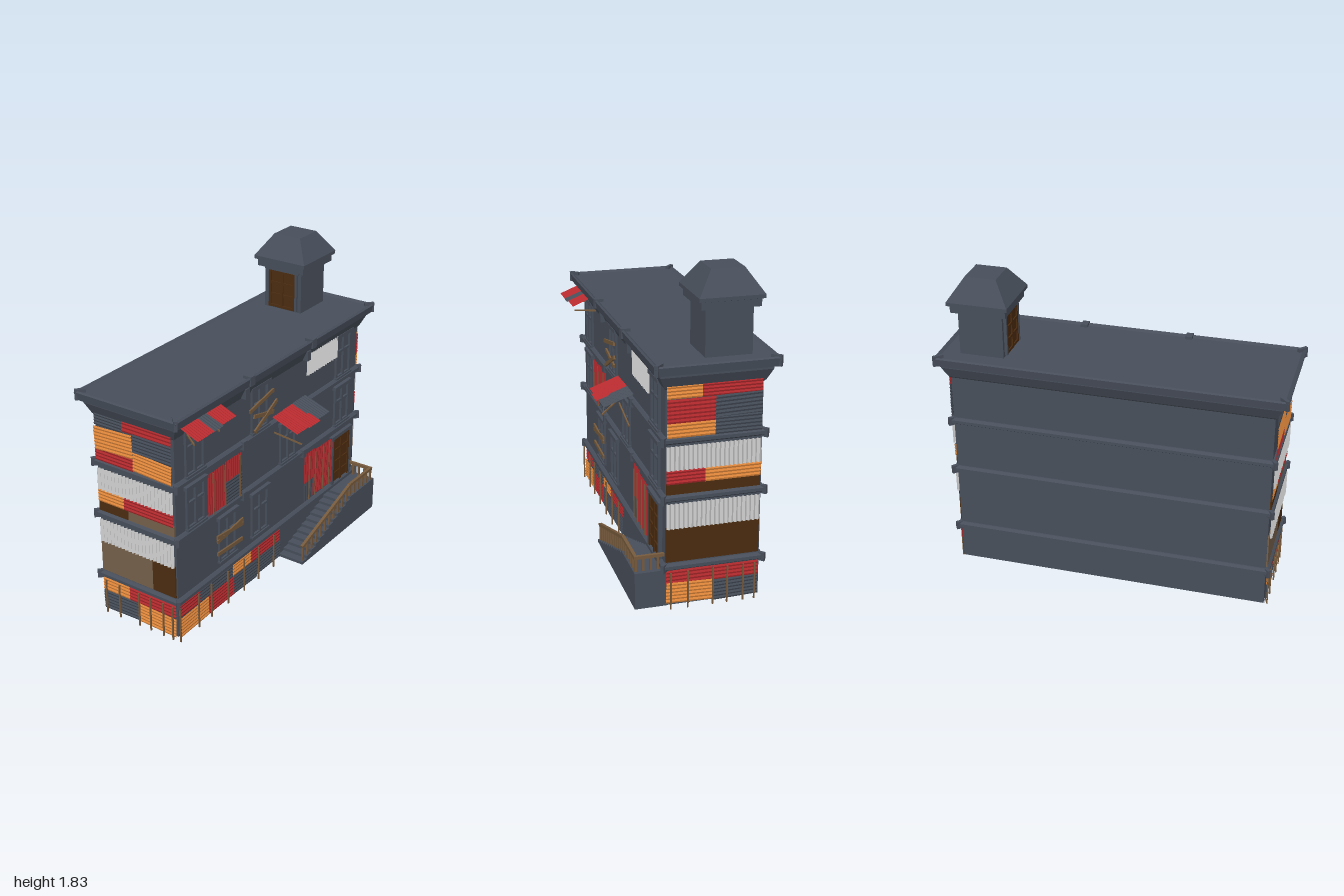
import * as THREE from 'three';

const mat = (name, color, side = THREE.FrontSide) => {
  const m = new THREE.MeshStandardMaterial({ color, side });
  m.name = name;
  return m;
};

export function createModel() {
  const D = THREE.DoubleSide;
  const slate = mat('slate', 0x474e5a);
  const sheetSlate = mat('slate sheet', 0x464d58, D);
  const red = mat('red sheet', 0xb52a2e, D);
  const orange = mat('orange sheet', 0xe58a3c, D);
  const white = mat('white sheet', 0xd2d2d2, D);
  const tan = mat('light board', 0x75604a);
  const dark = mat('dark brown', 0x4c2c10);
  const wood = mat('wood', 0x765a3c);

  const root = new THREE.Group();
  root.name = 'boardedHouse';
  const CX = -0.06, HX = 0.262, HZ = 0.922;

  const group = (name, parent = root) => {
    const g = new THREE.Group();
    g.name = name;
    parent.add(g);
    return g;
  };
  const add = (parent, name, geo, m) => {
    const o = new THREE.Mesh(geo, m);
    o.name = name;
    parent.add(o);
    return o;
  };
  const box = (parent, name, m, w, h, d, x, y, z, rz = 0) => {
    const o = add(parent, name, new THREE.BoxGeometry(w, h, d), m);
    o.position.set(x, y, z);
    o.rotation.z = rz;
    return o;
  };
  // square bar between two points
  const bar = (parent, name, m, a, b, t) => {
    const p = new THREE.Vector3(...a), q = new THREE.Vector3(...b);
    const o = add(parent, name, new THREE.BoxGeometry(t, t, p.distanceTo(q)), m);
    o.position.copy(p).lerp(q, 0.5);
    o.lookAt(q);
    return o;
  };
  // rectangular loops [halfX, halfZ, y] joined from bottom to top
  const loft = (parent, name, m, levels, x, z) => {
    const pts = [];
    const loops = levels.map(([a, b, y]) => [[-a, y, b], [a, y, b], [a, y, -b], [-a, y, -b]]);
    const quad = (a, b, c, d) => pts.push(...a, ...b, ...c, ...a, ...c, ...d);
    for (let i = 0; i + 1 < loops.length; i++)
      for (let k = 0; k < 4; k++) {
        const n = (k + 1) % 4;
        quad(loops[i][k], loops[i][n], loops[i + 1][n], loops[i + 1][k]);
      }
    quad(...loops[0].slice().reverse());
    quad(...loops[loops.length - 1]);
    const g = new THREE.BufferGeometry();
    g.setAttribute('position', new THREE.Float32BufferAttribute(pts, 3));
    g.computeVertexNormals();
    const o = add(parent, name, g, m);
    o.position.set(x, 0, z);
    return o;
  };
  // corrugated sheet geometry, ribs across or upright
  const ribbed = (w, h, upright, pitch, depth) => {
    const n = 2 * Math.max(2, Math.round((upright ? w : h) / pitch));
    let g = new THREE.PlaneGeometry(w, h, upright ? n : 1, upright ? 1 : n);
    const p = g.attributes.position, row = upright ? n + 1 : 2;
    for (let i = 0; i < p.count; i++) {
      const k = upright ? i % row : Math.floor(i / row);
      p.setZ(i, k % 2 ? depth : 0);
    }
    g = g.toNonIndexed();
    g.computeVertexNormals();
    return g;
  };
  const sheet = (face, m, u0, u1, y0, y1, { tilt = 0, upright = false, out = 0.006, pitch = 0.02, depth = 0.004 } = {}) => {
    const o = add(face, 'corrugatedSheet', ribbed(u1 - u0, y1 - y0, upright, pitch, depth), m);
    o.position.set((u0 + u1) / 2, (y0 + y1) / 2, out);
    o.rotation.z = tilt;
  };
  const plate = (face, m, u0, u1, y0, y1, out = 0.004) =>
    box(face, 'boardPanel', m, u1 - u0, y1 - y0, 0.008, (u0 + u1) / 2, (y0 + y1) / 2, out);

  // walls
  loft(root, 'walls', slate, [[HX, HZ, 0.02], [HX, HZ, 1.3]], CX, 0);

  // floor bands and roof cornice
  const moulding = (name, prof) =>
    loft(root, name, slate, prof.map(([o, y]) => [HX + o, HZ + o, y]), CX, 0);
  const corner = (off, y, h) => {
    for (const sx of [-1, 1]) for (const sz of [-1, 1]) {
      const o = box(root, 'cornerBracket', slate, 0.02, h, 0.06, CX + sx * (HX + off - 0.02), y, sz * (HZ + off - 0.02));
      o.rotation.y = sx * sz * Math.PI / 4;
    }
  };
  for (const y of [0.225, 0.62, 0.942]) {
    moulding('floorBand', [[0.004, y], [0.022, y + 0.012], [0.022, y + 0.03], [0.008, y + 0.042]]);
    corner(0.024, y + 0.02, 0.048);
    if (y > 0.5) for (const z of [0.32, -0.303])
      box(root, 'bandBracket', slate, 0.05, 0.05, 0.035, CX + HX + 0.005, y + 0.018, z);
  }
  moulding('roofCornice', [[0, 1.24], [0.01, 1.25], [0.04, 1.315], [0.04, 1.33], [0.066, 1.335],
    [0.074, 1.38], [0.066, 1.388], [0.05, 1.376]]);
  corner(0.07, 1.365, 0.06);
  for (const z of [0.32, -0.303]) {
    box(root, 'corniceBracket', slate, 0.055, 0.055, 0.04, CX + HX + 0.052, 1.365, z);
    box(root, 'corniceBracket', slate, 0.05, 0.06, 0.035, CX + HX + 0.02, 1.28, z);
  }

  // panelled door lying on a face
  const door = (face, u, y0, w, h, rows, out) => {
    const g = group('door', face);
    box(g, 'doorLeaf', dark, w, h, 0.008, u, y0 + h / 2, out);
    for (let i = 0; i < 3; i++) box(g, 'doorStile', dark, 0.016, h, 0.012, u + (i - 1) * (w / 2 - 0.008), y0 + h / 2, out + 0.006);
    for (let i = 0; i <= rows; i++) box(g, 'doorRail', dark, w, 0.016, 0.012, u, y0 + 0.008 + i * (h - 0.016) / rows, out + 0.005);
    for (const s of [-1, 1]) box(g, 'doorJamb', slate, 0.014, h, 0.03, u + s * (w / 2 + 0.007), y0 + h / 2, out);
    box(g, 'doorLintel', slate, w + 0.05, 0.022, 0.035, u, y0 + h + 0.011, out);
  };

  // roof tower
  const tower = group('roofTower');
  const TX = -0.147, TZ = -0.747;
  const sq = (pr) => pr.map(([a, y]) => [a, a, y]);
  loft(tower, 'towerBody', slate, sq([[0.128, 1.37], [0.128, 1.64]]), TX, TZ);
  loft(tower, 'towerRoof', slate, sq([[0.16, 1.635], [0.16, 1.675], [0.176, 1.68], [0.176, 1.70], [0.09, 1.828]]), TX, TZ);
  const towerFace = group('towerFront', tower);
  towerFace.position.set(TX, 0, TZ + 0.13);
  door(towerFace, 0, 1.385, 0.185, 0.235, 3, 0);

  // end walls: u runs left to right as seen from outside
  const front = group('frontWall'), back = group('backWall');
  front.position.set(CX, 0, HZ);
  back.position.set(CX, 0, -HZ);
  back.rotation.y = Math.PI;
  const L = -0.26, R = 0.255;
  const curtain = { upright: true, out: 0.012, pitch: 0.024, depth: 0.012 };
  for (const f of [front, back]) {
    sheet(f, white, L, R, 0.47, 0.615, curtain);
    sheet(f, white, L, R, 0.8, 0.935, curtain);
    for (const u of [-0.235, -0.14, 0, 0.08, 0.17, 0.235])
      box(f, 'groundPost', wood, 0.008, 0.215, 0.008, u, 0.1075, 0.016);
  }
  plate(front, tan, L, 0.1, 0.275, 0.475);
  plate(front, dark, 0.1, R, 0.275, 0.475);
  plate(front, dark, L, -0.055, 0.66, 0.725);
  plate(front, tan, -0.055, R, 0.66, 0.725);
  plate(back, dark, L, R, 0.275, 0.475);
  plate(back, dark, L, R, 0.66, 0.725);
  // material, u0, u1, y0, y1, tilt
  const patch = (f, list) => list.forEach(([m, a, b, c, d, tilt = 0], i) =>
    sheet(f, m, a, b, c, d, { tilt, out: 0.005 + i * 0.0012 }));
  patch(front, [
    [sheetSlate, L, 0, 0.02, 0.14, 0.03], [orange, L, -0.07, 0.14, 0.225], [red, -0.07, R, 0.14, 0.225], [orange, 0, R, 0.02, 0.14, -0.03],
    [orange, L, -0.08, 0.72, 0.8], [red, -0.08, R, 0.72, 0.8],
    [sheetSlate, L, -0.07, 1.19, 1.26], [red, -0.07, R, 1.2, 1.265], [sheetSlate, 0, R, 1.09, 1.205],
    [red, L, 0, 0.98, 1.06], [orange, 0, R, 0.98, 1.095, -0.05], [orange, L, 0, 1.05, 1.19, 0.05]]);
  patch(back, [
    [red, L, 0, 0.14, 0.225], [sheetSlate, 0, R, 0.02, 0.14, 0.03], [red, 0, R, 0.14, 0.225], [orange, L, 0, 0.03, 0.15, -0.03],
    [red, L, -0.05, 0.72, 0.8], [orange, -0.05, R, 0.72, 0.8],
    [orange, L, -0.07, 1.19, 1.265], [red, -0.07, R, 1.19, 1.265], [sheetSlate, 0, R, 1.07, 1.195, 0.03],
    [sheetSlate, 0, R, 0.98, 1.08], [orange, L, 0, 0.98, 1.06], [red, L, 0, 1.06, 1.19]]);

  // long street wall: u = -z
  const side = group('streetWall');
  side.position.set(CX + HX, 0, 0);
  side.rotation.y = Math.PI / 2;
  const windowAt = (u, y0, h) => {
    const g = group('window', side), w = 0.165;
    for (const k of [-1, 0, 1]) box(g, 'windowUpright', slate, 0.014, h, 0.016, u + k * (w / 2 - 0.007), y0 + h / 2, 0.006);
    for (const k of [0, 0.62, 1]) box(g, 'windowRail', slate, w, 0.014, 0.014, u, y0 + 0.007 + k * (h - 0.014), 0.006);
    box(g, 'windowLintel', slate, w + 0.025, 0.022, 0.026, u, y0 + h, 0.01);
    box(g, 'windowSill', slate, w + 0.01, 0.012, 0.024, u, y0, 0.01);
  };
  for (const u of [-0.755, -0.15, 0.75]) windowAt(u, 0.985, 0.275);
  for (const u of [-0.755, 0.145, 0.75]) windowAt(u, 0.665, 0.255);
  for (const u of [-0.465, -0.145]) windowAt(u, 0.31, 0.28);
  door(side, 0.755, 0.235, 0.19, 0.34, 4, 0.006);

  // sheets fixed to the street wall
  sheet(side, white, 0.33, 0.67, 1.135, 1.275, curtain);
  const up = { upright: true, out: 0.01 };
  sheet(side, red, -0.65, -0.49, 0.655, 0.92, { ...up, tilt: 0.02 });
  sheet(side, red, -0.49, -0.33, 0.79, 0.925, { ...up, tilt: -0.02 });
  sheet(side, sheetSlate, -0.49, -0.33, 0.655, 0.8, { out: 0.012 });
  sheet(side, red, 0.33, 0.45, 0.41, 0.61, up);
  sheet(side, sheetSlate, 0.33, 0.44, 0.285, 0.41, up);
  sheet(side, red, 0.43, 0.65, 0.29, 0.6, { ...up, out: 0.014, tilt: -0.03 });
  for (const u of [0.37, 0.44, 0.53, 0.6]) box(side, 'sheetBatten', wood, 0.006, 0.3, 0.006, u, 0.44, 0.024);
  for (const u of [-0.61, -0.5, -0.36]) box(side, 'sheetBatten', wood, 0.006, 0.26, 0.006, u, 0.785, 0.02);
  patch(side, [
    [red, -0.915, -0.73, 0.14, 0.225], [sheetSlate, -0.73, -0.42, 0.14, 0.225], [red, -0.24, 0.07, 0.14, 0.225],
    [orange, -0.42, -0.235, 0.145, 0.228], [red, -0.67, -0.41, 0.02, 0.145], [sheetSlate, -0.18, 0.07, 0.03, 0.145],
    [sheetSlate, -0.41, -0.18, 0.02, 0.14, -0.03], [orange, -0.915, -0.66, 0.02, 0.145, 0.02]]);
  for (const u of [-0.93, -0.76, -0.64, -0.48, -0.32, -0.17, -0.01])
    box(side, 'groundPost', wood, 0.008, 0.22, 0.008, u, 0.11, 0.02);

  // boards nailed over windows: u, y, length, tilt
  for (const [u, y, len, tilt] of [[-0.465, 0.485, 0.25, 0.12], [-0.465, 0.485, 0.25, -0.1], [-0.465, 0.38, 0.24, -0.06],
    [-0.16, 1.17, 0.24, 0.2], [-0.125, 1.065, 0.25, 0.48], [-0.14, 1.08, 0.2, -0.22]])
    box(side, 'nailedBoard', wood, len, 0.022, 0.01, u, y, 0.024 + Math.abs(tilt) * 0.02, tilt);

  // awnings: edge height at wall, drop, list of [material, u0, u1, reach]
  const awning = (y, drop, struts, list) => {
    const g = group('awning', side);
    list.forEach(([m, a, b, reach], i) => {
      const o = add(g, 'awningSheet', ribbed(b - a, Math.hypot(reach, drop), true, 0.02, 0.004), m);
      o.position.set((a + b) / 2, y - drop / 2 + i * 0.003, 0.01 + reach / 2);
      o.rotation.x = -Math.atan2(reach, drop);
    });
    for (const [u, low] of struts) bar(g, 'awningStrut', wood, [u, low, 0.01], [u, y - drop * 0.5, 0.085], 0.008);
  };
  awning(1.332, 0.058, [[-0.85, 1.17], [-0.64, 1.16]],
    [[red, -0.92, -0.77, 0.145], [sheetSlate, -0.78, -0.7, 0.15], [red, -0.71, -0.575, 0.14]]);
  awning(1.008, 0.062, [[0.04, 0.76], [0.255, 0.77]],
    [[red, -0.025, 0.11, 0.17], [red, 0.08, 0.2, 0.185], [sheetSlate, 0.18, 0.325, 0.17]]);

  // outside stairs with landing
  const stairs = group('stairs');
  const X0 = 0.195, X1 = 0.37, W = X1 - X0, N = 11;
  for (let i = 0; i < N; i++) {
    const h = (i + 1) * 0.21 / (N + 1);
    box(stairs, 'step', slate, W, h, 0.05, (X0 + X1) / 2, 0.02 + h / 2, -0.105 - i * 0.05);
  }
  box(stairs, 'landing', slate, W, 0.21, 0.295, (X0 + X1) / 2, 0.125, -0.7775);

  // railing
  const rail = group('railing'), RX = 0.358;
  for (let i = 0; i < N; i++) {
    const z = -0.1 - i * 0.05, y = 0.03 + i * 0.0175;
    box(rail, 'railPost', wood, 0.01, 0.1, 0.012, RX, y + 0.05, z);
  }
  bar(rail, 'stairRail', wood, [RX, 0.135, -0.09], [RX, 0.31, -0.64], 0.018);
  for (let i = 0; i < 6; i++) box(rail, 'railPost', wood, 0.012, 0.09, 0.012, RX, 0.27, -0.64 - i * 0.051);
  bar(rail, 'landingRail', wood, [RX, 0.31, -0.63], [RX, 0.31, -0.905], 0.018);
  for (const x of [0.235, 0.275, 0.317]) box(rail, 'railPost', wood, 0.012, 0.09, 0.012, x, 0.27, -0.895);
  bar(rail, 'endRail', wood, [0.2, 0.31, -0.895], [0.367, 0.31, -0.895], 0.018);

  return root;
}
